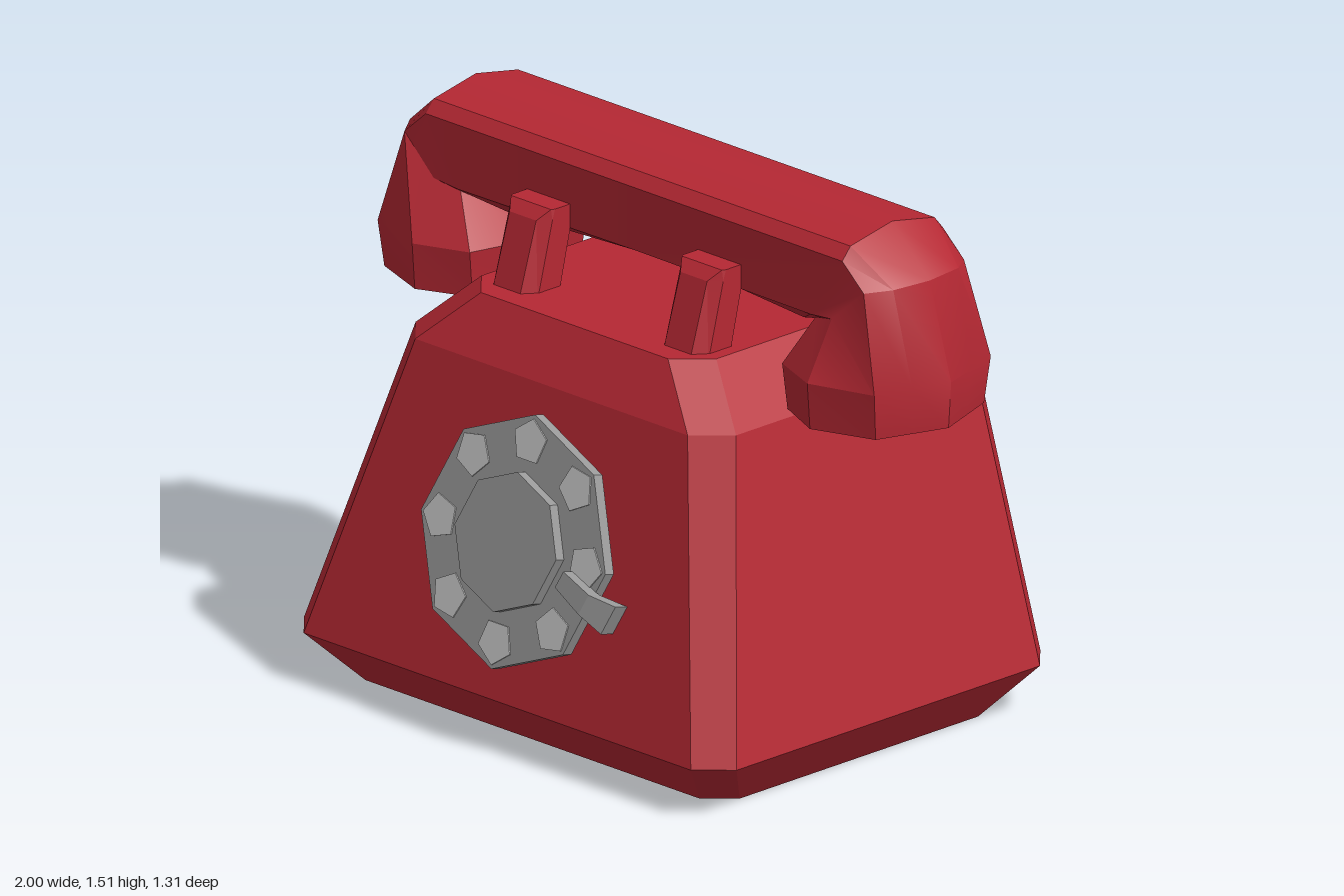
import * as THREE from 'three';
import { toCreasedNormals } from 'three/addons/utils/BufferGeometryUtils.js';

// Closed solid through a list of rings with equal point counts, ends capped
function loft(rings, crease = 0.1) {
  const tris = [];
  const n = rings[0].length;
  for (let i = 0; i < rings.length - 1; i++) {
    for (let j = 0; j < n; j++) {
      const k = (j + 1) % n;
      const [a, b, c, d] = [rings[i][j], rings[i][k], rings[i + 1][k], rings[i + 1][j]];
      tris.push([a, b, c], [a, c, d]);
    }
  }
  const first = rings[0], last = rings[rings.length - 1];
  for (let j = 1; j < n - 1; j++) {
    tris.push([first[0], first[j + 1], first[j]], [last[0], last[j], last[j + 1]]);
  }
  // Signed volume tells whether the faces point outward
  let volume = 0;
  for (const [a, b, c] of tris) {
    volume += new THREE.Vector3(...a).dot(new THREE.Vector3(...b).cross(new THREE.Vector3(...c)));
  }
  if (volume < 0) tris.forEach((t) => t.reverse());
  const geo = new THREE.BufferGeometry();
  geo.setAttribute('position', new THREE.Float32BufferAttribute(tris.flat(2), 3));
  return toCreasedNormals(geo, crease);
}

// Rectangle with cut corners at height y
function cutRect(y, x, zf, zb, c) {
  return [
    [x - c, y, zf], [x, y, zf - c], [x, y, zb + c], [x - c, y, zb],
    [-x + c, y, zb], [-x, y, zb + c], [-x, y, zf - c], [-x + c, y, zf],
  ];
}

export function createModel() {
  const model = new THREE.Group();
  model.name = 'rotaryTelephone';
  const mat = (name, color) => {
    const m = new THREE.MeshStandardMaterial({ color });
    m.name = name;
    return m;
  };
  const red = mat('red', 0xb52833);
  const grey = mat('grey', 0x999999);
  const lightGrey = mat('lightGrey', 0xcacaca);
  const add = (parent, name, geo, material) => {
    const mesh = new THREE.Mesh(geo, material);
    mesh.name = name;
    parent.add(mesh);
    return mesh;
  };

  // Body: tapered block with cut corners
  add(model, 'body', loft([
    cutRect(0, 0.7, 0.5, -0.53, 0.075),
    cutRect(0.14, 0.81, 0.63, -0.66, 0.085),
    cutRect(0.97, 0.6, 0.43, -0.62, 0.09),
    cutRect(1.12, 0.44, 0.345, -0.45, 0.09),
  ]), red);

  // Cradle: four leaning prongs, mirrored about the handset axis
  const midZ = -0.06;
  for (const sx of [1, -1]) {
    for (const sz of [1, -1]) {
      const ring = (y, inner, outer, cut, w) => [
        [-0.08, inner], [0.08, inner], [0.08, outer - cut],
        [w, outer], [-w, outer], [-0.08, outer - cut],
      ].map(([x, d]) => [sx * 0.32 + x, y, midZ + sz * d]);
      add(model, 'cradleProng', loft([
        ring(1.1, 0.225, 0.345, 0.04, 0.05),
        ring(1.31, 0.175, 0.28, 0.03, 0.05),
        ring(1.34, 0.17, 0.25, 0.01, 0.075),
      ]), red);
    }
  }

  // Handset: half rings [x, y, depth] from the end cup to mid handle
  const halfRings = [
    [[0.99, 0.99, 0], [0.955, 0.99, 0.1], [0.92, 0.99, 0.2], [0.74, 0.99, 0.265], [0.59, 0.99, 0.2], [0.545, 0.99, 0]],
    [[1, 1.12, 0], [0.965, 1.12, 0.108], [0.93, 1.12, 0.215], [0.74, 1.12, 0.275], [0.585, 1.12, 0.215], [0.53, 1.12, 0]],
    [[0.92, 1.385, 0], [0.905, 1.385, 0.12], [0.86, 1.38, 0.185], [0.745, 1.28, 0.19], [0.665, 1.26, 0.17], [0.63, 1.24, 0]],
    [[0.78, 1.515, 0], [0.78, 1.485, 0.155], [0.78, 1.45, 0.185], [0.66, 1.27, 0.185], [0.55, 1.21, 0.1], [0.55, 1.2, 0]],
    [[0, 1.515, 0], [0, 1.485, 0.155], [0, 1.45, 0.185], [0, 1.275, 0.185], [0, 1.25, 0.1], [0, 1.24, 0]],
  ];
  const fullRing = (half, sx) => [
    ...half.map(([x, y, d]) => [sx * x, y, midZ + d]),
    ...half.slice(1, -1).reverse().map(([x, y, d]) => [sx * x, y, midZ - d]),
  ];
  add(model, 'handset', loft([
    ...halfRings.map((h) => fullRing(h, 1)),
    ...halfRings.slice(0, -1).reverse().map((h) => fullRing(h, -1)),
  ], 0.5), red);

  // Dial, tilted to lie along the sloping front
  const dial = new THREE.Group();
  dial.name = 'dial';
  dial.position.set(0, 0.565, 0.54);
  dial.rotation.x = -Math.atan(0.2 / 0.83);
  model.add(dial);
  const disc = (r, depth, z, sides) => {
    const g = new THREE.CylinderGeometry(r, r, depth, sides).rotateX(Math.PI / 2).translate(0, 0, z + depth / 2);
    return toCreasedNormals(g, 0.1);
  };
  add(dial, 'dialPlate', disc(0.345, 0.032, 0, 8), grey);
  add(dial, 'dialCentre', disc(0.19, 0.03, 0.032, 8), grey);

  // Eight five-sided finger spots
  for (let i = 0; i < 8; i++) {
    const a = (i * Math.PI) / 4;
    const spot = add(dial, 'fingerSpot', disc(0.062, 0.005, 0.031, 5), lightGrey);
    spot.position.set(0.272 * Math.cos(a), 0.272 * Math.sin(a), 0);
    spot.rotation.z = a + Math.PI / 2;
  }

  // Finger stop: flared bar reaching over the plate edge
  const stopRing = (x, w, z0, z1) => [[x, -w, z0], [x, w, z0], [x, w, z1], [x, -w, z1]];
  const stop = add(dial, 'fingerStop', loft([
    stopRing(0, 0.026, 0.035, 0.07),
    stopRing(0.11, 0.032, 0.03, 0.07),
    stopRing(0.18, 0.045, -0.01, 0.035),
  ]), grey);
  stop.position.set(0.22, -0.045, 0);
  stop.rotation.z = -0.4;

  return model;
}
